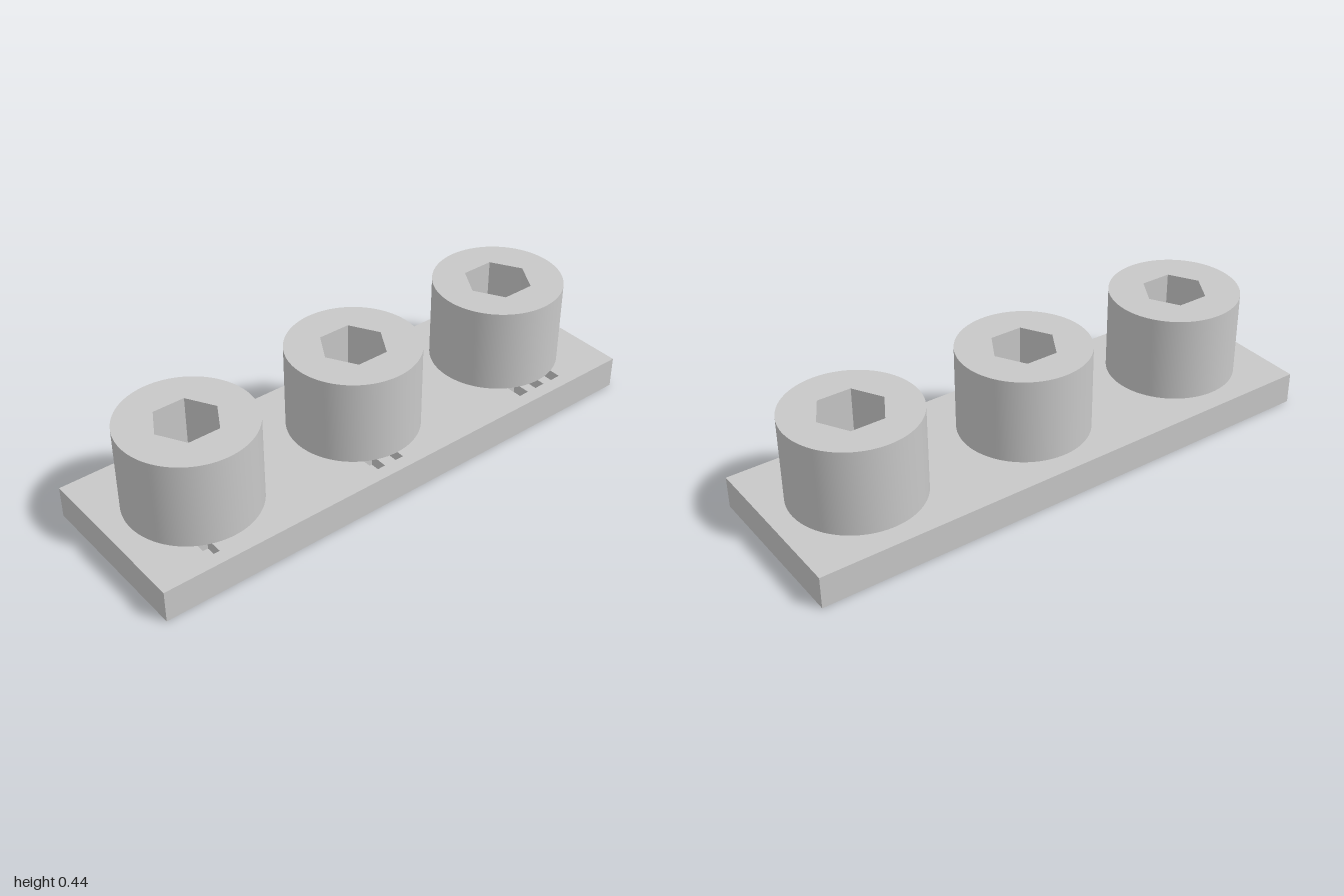
import * as THREE from 'three';
import { toCreasedNormals } from 'three/addons/utils/BufferGeometryUtils.js';

const BOSS_X = [-0.68, 0, 0.68];
const HEX_R = [0.119, 0.122, 0.125];
const BORE_R = 0.073, BOSS_R = 0.24;
const PLATE_TOP = 0.12, NOTCH_FLOOR = 0.08, BOSS_TOP = 0.44;

const circle = (x, r) => new THREE.Path().absarc(x, 0, r, 0, Math.PI * 2, true);

// Rectangle in plan, given in x and z
function rect(x0, x1, z0, z1, Type) {
  return new Type([[x0, -z1], [x1, -z1], [x1, -z0], [x0, -z0]]
    .map(([x, y]) => new THREE.Vector2(x, y)));
}

// Hexagonal socket with corners on the x axis
function hexagon(r) {
  return new THREE.Path(Array.from({ length: 6 }, (_, i) => {
    const a = -i * Math.PI / 3;
    return new THREE.Vector2(r * Math.cos(a), r * Math.sin(a));
  }));
}

// Extrude a plan shape upward between two heights
function slab(name, shape, y0, y1, material) {
  const geo = new THREE.ExtrudeGeometry(shape, { depth: y1 - y0, bevelEnabled: false, curveSegments: 48 });
  geo.rotateX(-Math.PI / 2);
  const mesh = new THREE.Mesh(toCreasedNormals(geo, 0.5), material);
  mesh.position.y = y0;
  mesh.name = name;
  return mesh;
}

export function createModel() {
  const group = new THREE.Group();
  group.name = 'socketPlate';
  const grey = new THREE.MeshStandardMaterial({ color: 0xc8c8c8 });
  grey.name = 'lightGrey';

  // Plate: solid lower layer, upper layer cut by the counting notches
  const lower = rect(-1, 1, -0.32, 0.32, THREE.Shape);
  const upper = rect(-1, 1, -0.32, 0.32, THREE.Shape);
  BOSS_X.forEach((x, i) => {
    lower.holes.push(circle(x, BORE_R));
    upper.holes.push(circle(x, BORE_R));
    for (let k = 0; k <= i; k++) {
      const c = x - 0.1 + k * 0.08;
      upper.holes.push(rect(c - 0.021, c + 0.021, 0.2, 0.27, THREE.Path));
    }
  });
  group.add(slab('plateLower', lower, 0, NOTCH_FLOOR, grey));
  group.add(slab('plateUpper', upper, NOTCH_FLOOR, PLATE_TOP, grey));

  // Round bosses with hexagonal sockets
  BOSS_X.forEach((x, i) => {
    const ring = new THREE.Shape().absarc(0, 0, BOSS_R, 0, Math.PI * 2, false);
    ring.holes.push(hexagon(HEX_R[i]));
    const boss = slab('boss' + (i + 1), ring, PLATE_TOP, BOSS_TOP, grey);
    boss.position.x = x;
    group.add(boss);
  });
  return group;
}
